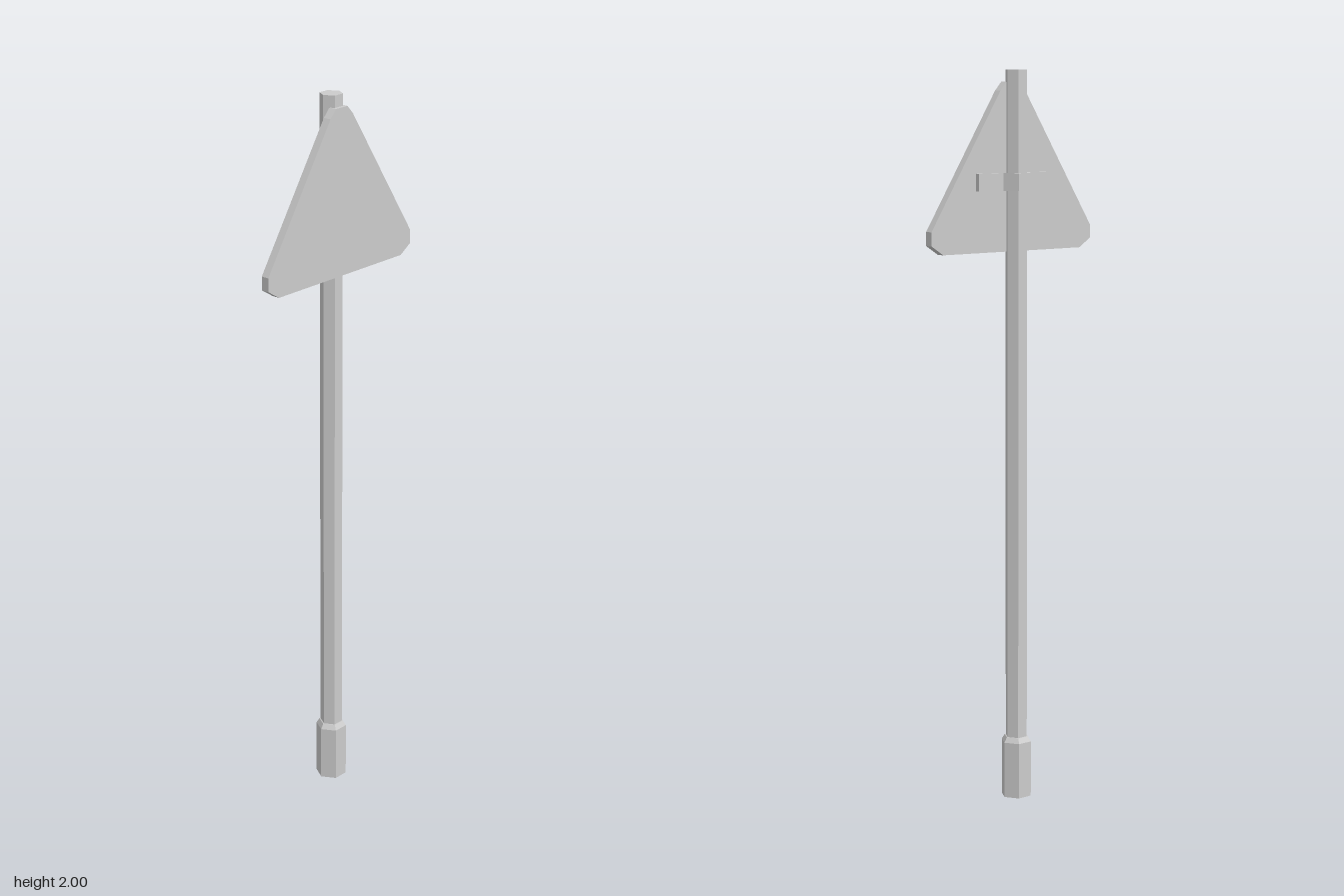
import * as THREE from 'three';

const material = new THREE.MeshStandardMaterial({ color: 0xcccccc, flatShading: true });
const POST_Z = -0.0015;

function addMesh(group, name, geometry) {
  const mesh = new THREE.Mesh(geometry, material);
  mesh.name = name;
  group.add(mesh);
  return mesh;
}

// Six-sided column section with corners on the x axis
function addHex(group, name, rTop, rBottom, y0, y1) {
  const geometry = new THREE.CylinderGeometry(rTop, rBottom, y1 - y0, 6, 1, false, Math.PI / 6);
  addMesh(group, name, geometry).position.set(0, (y0 + y1) / 2, POST_Z);
}

// Outline mirrored in x from its +x half, then extruded
function mirroredPlate(half, depth) {
  const mirrored = half.map(([x, y]) => [-x, y]).reverse();
  const points = [...half, ...mirrored].map(([x, y]) => new THREE.Vector2(x, y));
  return new THREE.ExtrudeGeometry(new THREE.Shape(points), { depth, bevelEnabled: false });
}

export function createModel() {
  const model = new THREE.Group();
  model.name = 'roadSign';

  // Post and its chamfered foot sleeve
  addHex(model, 'post', 0.031, 0.031, 0.16, 2);
  addHex(model, 'footSleeve', 0.043, 0.043, 0, 0.156);
  addHex(model, 'footChamfer', 0.034, 0.043, 0.156, 0.17);

  // Triangular panel with clipped corners
  const panel = mirroredPlate([
    [0.24, 1.516], [0.279, 1.541], [0.279, 1.578], [0.043, 1.945], [0.022, 1.968],
  ], 0.023);
  addMesh(model, 'signPanel', panel).position.z = 0.012;

  // Clamp wrapping the back of the post, with a flat tab on each side
  const clamp = mirroredPlate([
    [0.022, -0.039], [0.044, 0], [0.128, 0], [0.128, 0.013],
  ], 0.047);
  clamp.rotateX(Math.PI / 2);
  addMesh(model, 'clamp', clamp).position.y = 1.727;

  return model;
}
